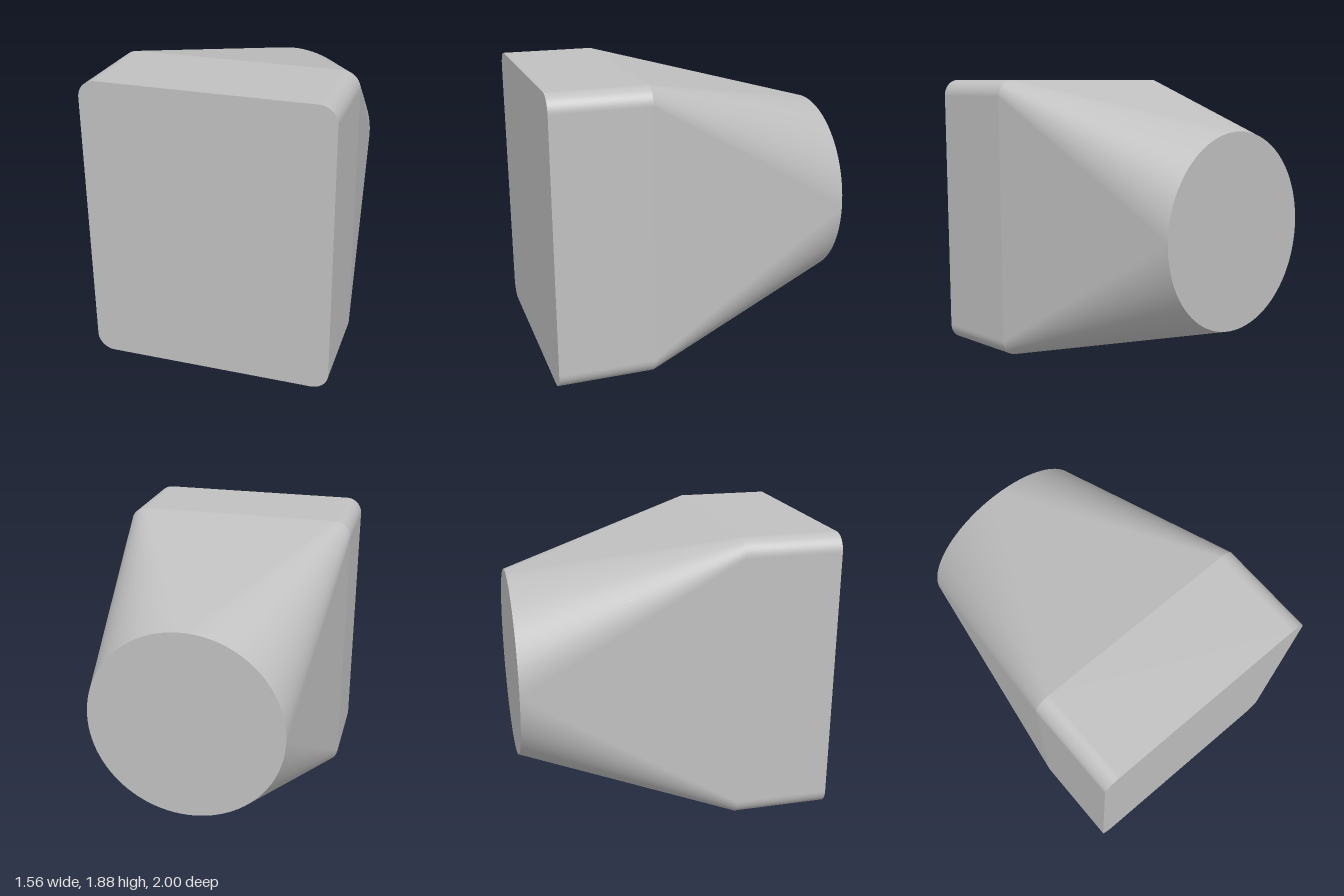
import * as THREE from 'three';

const HALF_W = 0.78, HALF_H = 0.9375, CORNER = 0.11;
const MID_Y = 0.9375, TUBE_R = 0.625;
const FRONT = 1, SHOULDER = 0.375, BACK = -1;
const STEPS = 24; // segments per rounded corner

// Outline of four corner arcs, counter-clockwise; each point keeps its outward angle
function outline(halfW, halfH, radius) {
  const pts = [];
  for (let q = 0; q < 4; q++) {
    const sx = q === 0 || q === 3 ? 1 : -1, sy = q < 2 ? 1 : -1;
    for (let i = 0; i <= STEPS; i++) {
      const angle = (q + i / STEPS) * Math.PI / 2;
      pts.push({
        x: sx * (halfW - radius) + radius * Math.cos(angle),
        y: MID_Y + sy * (halfH - radius) + radius * Math.sin(angle),
        angle,
      });
    }
  }
  return pts;
}

// Ruled wall between two outlines, with smooth normals square to each ruling
function wall(a, zA, b, zB) {
  const pos = [], norm = [], index = [], n = a.length;
  for (let i = 0; i < n; i++) {
    const c = Math.cos(a[i].angle), s = Math.sin(a[i].angle);
    const slope = -((b[i].x - a[i].x) * c + (b[i].y - a[i].y) * s) / (zB - zA);
    const dir = new THREE.Vector3(c, s, slope).normalize();
    pos.push(a[i].x, a[i].y, zA, b[i].x, b[i].y, zB);
    norm.push(...dir.toArray(), ...dir.toArray());
    const p = 2 * i, q = 2 * ((i + 1) % n);
    index.push(p, p + 1, q + 1, p, q + 1, q);
  }
  const geo = new THREE.BufferGeometry();
  geo.setAttribute('position', new THREE.Float32BufferAttribute(pos, 3));
  geo.setAttribute('normal', new THREE.Float32BufferAttribute(norm, 3));
  geo.setIndex(index);
  return geo;
}

export function createModel() {
  const group = new THREE.Group();
  group.name = 'ductTransition';
  const grey = new THREE.MeshStandardMaterial({ color: 0xc0c0c0 });
  grey.name = 'light grey';

  const add = (name, geometry) => {
    const mesh = new THREE.Mesh(geometry, grey);
    mesh.name = name;
    group.add(mesh);
    return mesh;
  };

  const box = outline(HALF_W, HALF_H, CORNER);
  const circle = outline(TUBE_R, TUBE_R, TUBE_R);

  // Straight rounded-rectangle section, then the loft to the round end
  add('straightSection', wall(box, FRONT, box, SHOULDER));
  add('taperedSection', wall(box, SHOULDER, circle, BACK));

  // Flat end faces
  const face = new THREE.Shape(box.map(p => new THREE.Vector2(p.x, p.y)));
  add('frontFace', new THREE.ShapeGeometry(face)).position.z = FRONT;
  const back = add('backFace', new THREE.CircleGeometry(TUBE_R, STEPS * 4));
  back.rotation.y = Math.PI;
  back.position.set(0, MID_Y, BACK);

  return group;
}
